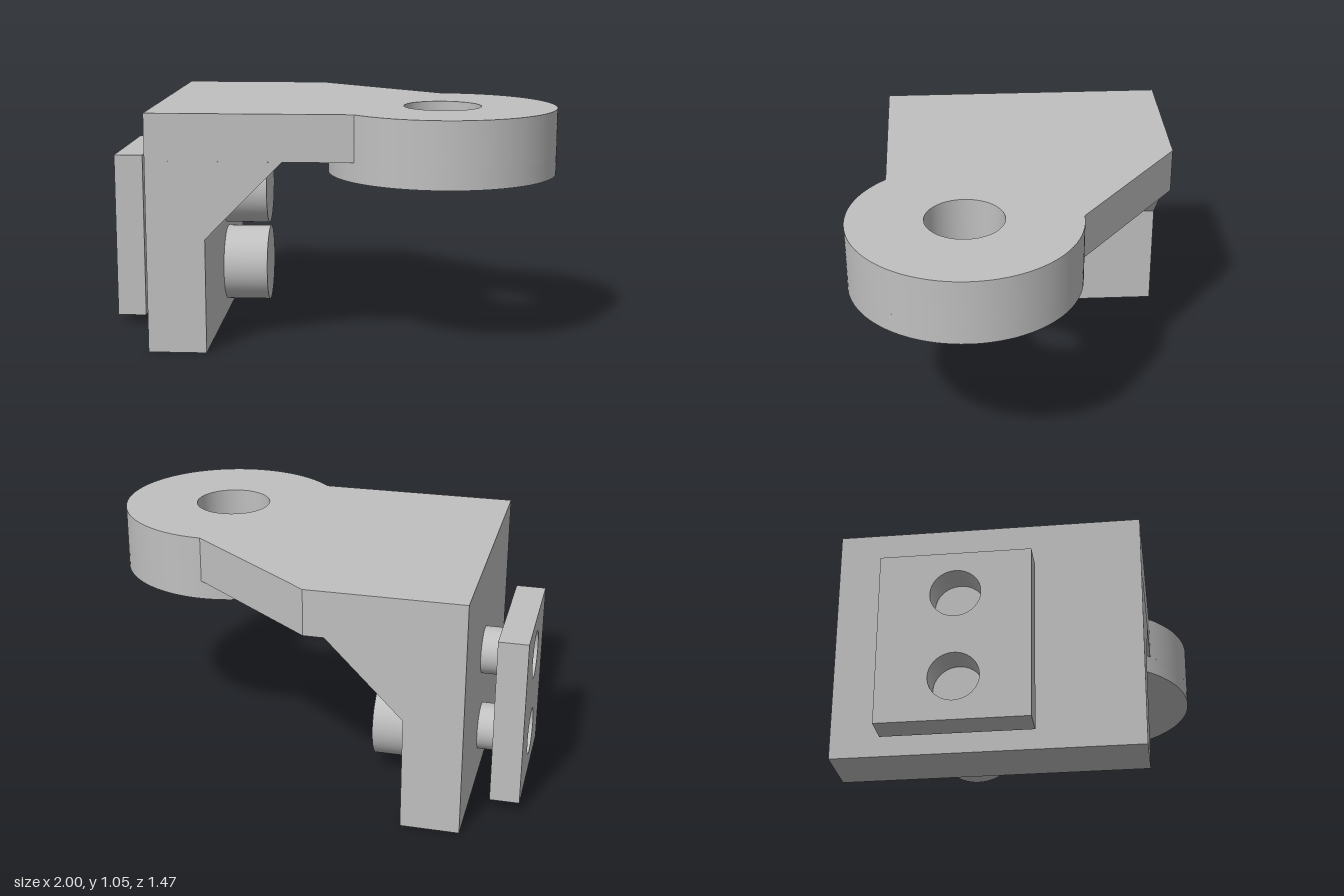
import * as THREE from 'three';
import { toCreasedNormals } from 'three/addons/utils/BufferGeometryUtils.js';

const EYE = { x: 0.495, z: 0.228, r: 0.503, bore: 0.171, counterbore: 0.263 };
const BOLT_Z = -0.187;
const BOLT_HEIGHTS = [0.235, 0.612];
const TOP = 1.05, SHELF = 0.845;

function circleHole(x, y, r) {
  return new THREE.Path().absarc(x, y, r, 0, Math.PI * 2, true);
}

function extrude(shape, depth) {
  const geo = new THREE.ExtrudeGeometry(shape, { depth, bevelEnabled: false, curveSegments: 48 });
  return toCreasedNormals(geo, 0.5);
}

export function createModel() {
  const model = new THREE.Group();
  model.name = 'bracket';
  const steel = new THREE.MeshStandardMaterial({ color: 0xc0c0c0 });
  steel.name = 'grey steel';

  const add = (name, geometry) => {
    const mesh = new THREE.Mesh(geometry, steel);
    mesh.name = name;
    model.add(mesh);
    return mesh;
  };

  // Upright wall
  add('wall', new THREE.BoxGeometry(0.255, SHELF, 1.3)).position.set(-0.6475, SHELF / 2, -0.085);

  // Top plate running into the round eye (shape y becomes z, depth runs down)
  const plate = new THREE.Shape();
  plate.moveTo(-0.775, 0.565);
  plate.lineTo(-0.775, -0.735);
  plate.lineTo(-0.095, -0.735);
  plate.lineTo(EYE.x, EYE.z - EYE.r);
  plate.absarc(EYE.x, EYE.z, EYE.r, -Math.PI / 2, Math.atan2(0.565 - EYE.z, 0.12 - EYE.x), false);
  plate.closePath();
  plate.holes.push(circleHole(EYE.x, EYE.z, EYE.bore));
  add('topPlate', extrude(plate, TOP - SHELF).rotateX(Math.PI / 2)).position.y = TOP;

  // Lower rim of the eye, around the counterbore
  const rim = new THREE.Shape().absarc(EYE.x, EYE.z, EYE.r, 0, Math.PI * 2, false);
  rim.holes.push(circleHole(EYE.x, EYE.z, EYE.counterbore));
  add('eyeRim', extrude(rim, SHELF - 0.76).rotateX(Math.PI / 2)).position.y = SHELF;

  // Triangular gussets at both ends of the wall
  const gusset = new THREE.Shape([
    new THREE.Vector2(-0.52, 0.505),
    new THREE.Vector2(-0.185, SHELF),
    new THREE.Vector2(-0.52, SHELF),
  ]);
  for (const [name, z] of [['frontGusset', 0.4], ['backGusset', -0.735]]) {
    add(name, extrude(gusset, z > 0 ? 0.165 : 0.17)).position.z = z;
  }

  // Bolts: wide heads inside, thin shanks outside
  const rod = (name, r, x0, x1, y) =>
    add(name, new THREE.CylinderGeometry(r, r, x1 - x0, 64).rotateZ(Math.PI / 2))
      .position.set((x0 + x1) / 2, y, BOLT_Z);
  for (const y of BOLT_HEIGHTS) {
    rod('boltHead', 0.177, -0.52, -0.315, y);
    rod('boltShank', 0.105, -0.87, -0.775, y);
  }

  // Clamp plate with two holes (shape x becomes z, depth runs to -x)
  const clamp = new THREE.Shape([
    new THREE.Vector2(-0.505, 0.045),
    new THREE.Vector2(0.125, 0.045),
    new THREE.Vector2(0.125, 0.8),
    new THREE.Vector2(-0.505, 0.8),
  ]);
  for (const y of BOLT_HEIGHTS) clamp.holes.push(circleHole(BOLT_Z, y, 0.105));
  add('clampPlate', extrude(clamp, 0.13).rotateY(-Math.PI / 2)).position.x = -0.87;

  return model;
}
